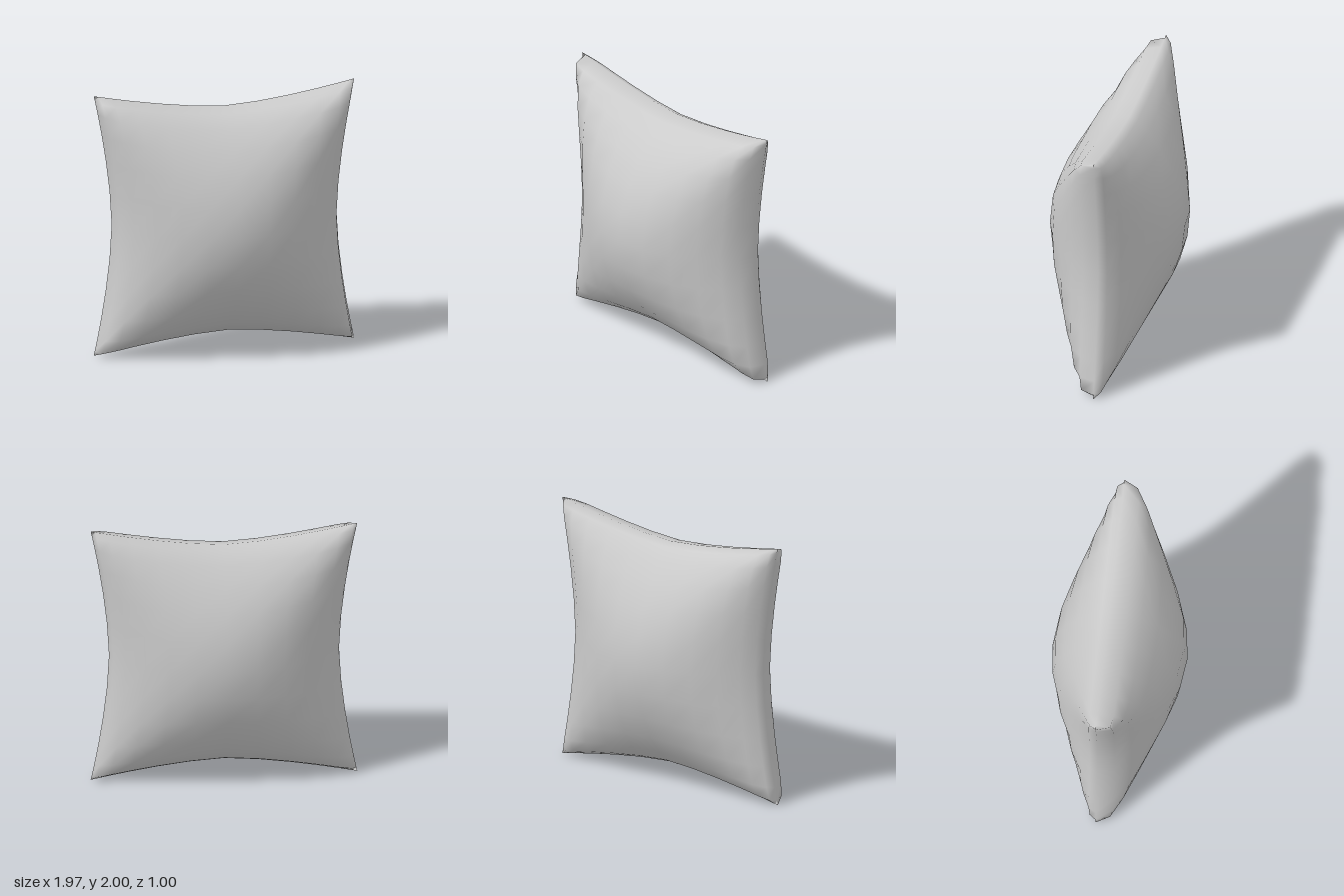
import * as THREE from 'three';
import { mergeGeometries, mergeVertices } from 'three/addons/utils/BufferGeometryUtils.js';

const SEGMENTS = 12;
const SEAM_Z = -0.075;

// Puffiness: 1 in the middle, 0 along the seam, with soft ridges towards the corners
function puff(u, v) {
  const s = 1 - u * u, t = 1 - v * v;
  if (s < 1e-6 || t < 1e-6) return 0;
  return Math.pow(Math.pow(s, -1.5) + Math.pow(t, -1.5) - 1, -1 / 1.5);
}

// One half of the cushion: a square sheet with pinched-in sides, bulging along z.
// dome is the share of gentle doming; the rest makes the full, steep rim.
function cushionHalf(side, height, dome) {
  const geo = new THREE.PlaneGeometry(2, 2, SEGMENTS, SEGMENTS);
  if (side < 0) geo.rotateY(Math.PI);
  const p = geo.attributes.position;
  for (let i = 0; i < p.count; i++) {
    // Rows sit closer together near the seam so that it turns over roundly
    const u = Math.sin(p.getX(i) * Math.PI / 2);
    const v = Math.sin(p.getY(i) * Math.PI / 2);
    const f = puff(u, v);
    p.setXYZ(i,
      u * (0.85 + 0.135 * Math.pow(Math.abs(v), 1.6)),
      1 + v * (0.86 + 0.14 * Math.pow(Math.abs(u), 1.5)),
      SEAM_Z + side * height * (dome * f + (1 - dome) * Math.pow(f, 0.3)));
  }
  geo.deleteAttribute('normal');
  geo.deleteAttribute('uv');
  return geo;
}

export function createModel() {
  const group = new THREE.Group();
  group.name = 'pillow';

  // Front and back are welded at the seam for smooth shading all round
  const geo = mergeVertices(mergeGeometries([
    cushionHalf(1, 0.575, 0.6),
    cushionHalf(-1, 0.425, 0.8),
  ]), 1e-4);
  geo.computeVertexNormals();

  const cushion = new THREE.Mesh(geo, new THREE.MeshStandardMaterial({ color: 0xcccccc }));
  cushion.name = 'cushion';
  group.add(cushion);
  return group;
}
